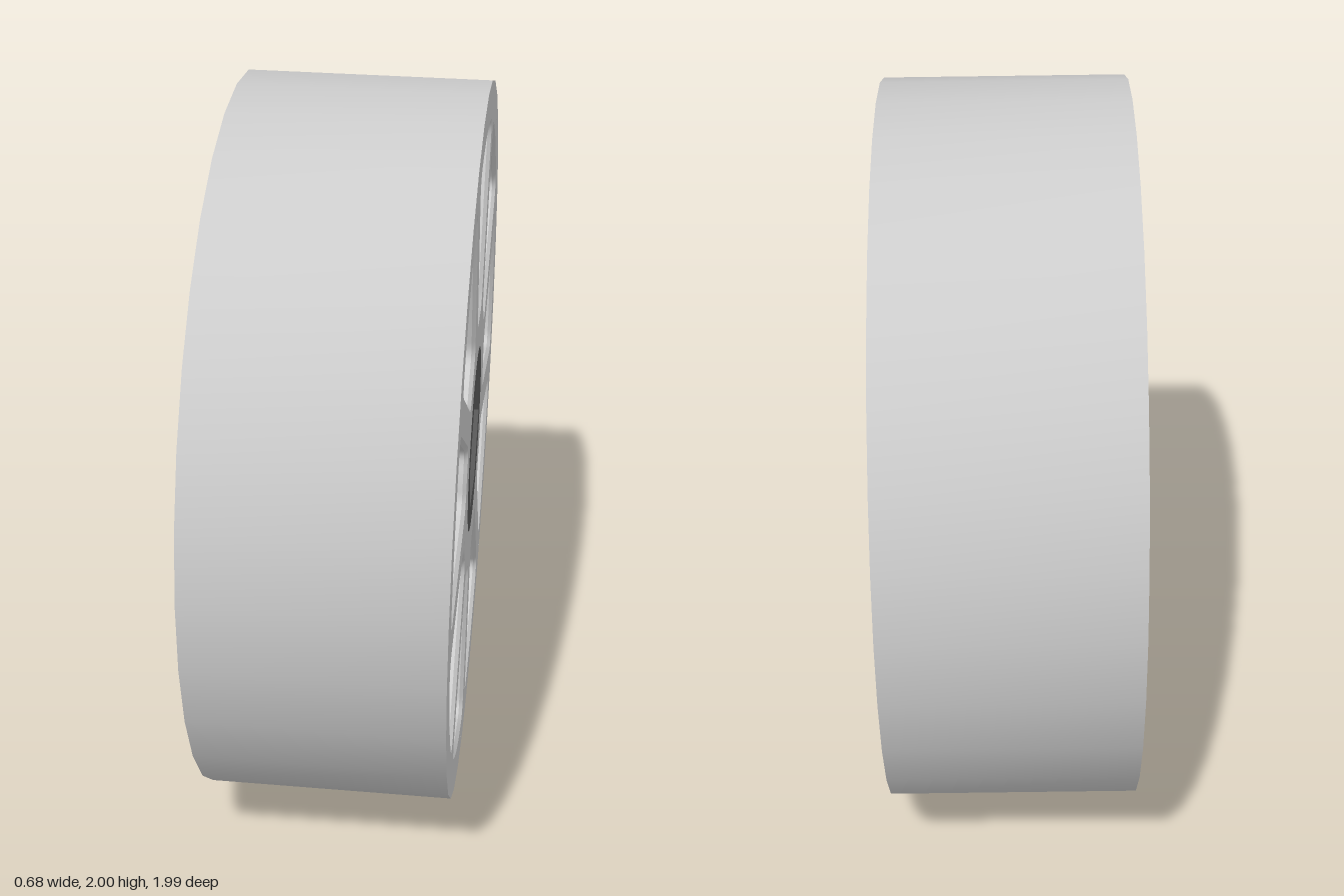
import * as THREE from 'three';
import { toCreasedNormals } from 'three/addons/utils/BufferGeometryUtils.js';

const WIDTH = 0.66, RADIUS = 0.996, RIM_JOIN = 0.94, HUB = 0.26;
const SPOKES = 9, SPOKE_HALF = 0.055, IN = 0.38, OUT = 0.88, FILLET = 0.05, CHAMFER = 0.01;

// Regular polygon outline in the wheel's plane
function polygon(radius, sides, Type = THREE.Path) {
  const points = [];
  for (let i = 0; i < sides; i++) {
    const a = (i / sides) * Math.PI * 2;
    points.push(new THREE.Vector2(Math.cos(a) * radius, Math.sin(a) * radius));
  }
  return new Type(points);
}

// Wedge-shaped opening between two spokes, with rounded corners
function windowPath(mid) {
  const half = Math.PI / SPOKES;
  const polar = (r, a) => new THREE.Vector2(r * Math.cos(mid + a), r * Math.sin(mid + a));
  const edge = (r) => half - Math.asin(SPOKE_HALF / r); // angle of the spoke's side at radius r
  const a0 = edge(IN), a1 = edge(OUT);
  const t0 = a0 - (FILLET * 0.8) / IN, t1 = a1 - FILLET / OUT;
  const rLow = IN + FILLET, rHigh = OUT - FILLET;
  const path = new THREE.Path();
  const corner = (c, e) => path.quadraticCurveTo(c.x, c.y, e.x, e.y);
  const start = polar(rLow, -edge(rLow)), side = polar(rHigh, -edge(rHigh));
  path.moveTo(start.x, start.y);
  path.lineTo(side.x, side.y);
  corner(polar(OUT, -a1), polar(OUT, -t1));
  path.absarc(0, 0, OUT, mid - t1, mid + t1, false);
  corner(polar(OUT, a1), polar(rHigh, edge(rHigh)));
  const back = polar(rLow, edge(rLow));
  path.lineTo(back.x, back.y);
  corner(polar(IN, a0), polar(IN, t0));
  path.absarc(0, 0, IN, mid + t0, mid - t0, true);
  corner(polar(IN, -a0), start);
  return path;
}

// Extrude a shape across the wheel's width, along x
function part(name, shape, material, chamfer = 0) {
  let geometry = new THREE.ExtrudeGeometry(shape, {
    depth: WIDTH - 2 * chamfer,
    curveSegments: 5,
    bevelEnabled: chamfer > 0,
    bevelThickness: chamfer,
    bevelSize: chamfer,
    bevelOffset: -chamfer,
    bevelSegments: 1,
  });
  geometry.translate(0, 0, chamfer - WIDTH / 2);
  geometry.rotateY(Math.PI / 2);
  geometry = toCreasedNormals(geometry, 0.5);
  const mesh = new THREE.Mesh(geometry, material);
  mesh.name = name;
  return mesh;
}

export function createModel() {
  const grey = new THREE.MeshStandardMaterial({ color: 0xcccccc });
  const dark = new THREE.MeshStandardMaterial({ color: 0x595959 });

  // Outer rim
  const rim = polygon(RADIUS, 32, THREE.Shape);
  rim.holes.push(polygon(RIM_JOIN, 32));

  // Spokes and hub body, with chamfered openings
  const body = polygon(RIM_JOIN + CHAMFER, 32, THREE.Shape);
  body.holes.push(polygon(HUB - CHAMFER, 48));
  for (let i = 0; i < SPOKES; i++) {
    body.holes.push(windowPath(Math.PI / 2 + (i * 2 * Math.PI) / SPOKES));
  }

  // Dark bushing with a hexagonal bore, flush with the faces
  const bushing = polygon(HUB, 48, THREE.Shape);
  bushing.holes.push(polygon(0.19, 6));

  const wheel = new THREE.Group();
  wheel.name = 'wheel';
  wheel.add(
    part('rim', rim, grey),
    part('spokes', body, grey, CHAMFER),
    part('hubBushing', bushing, dark),
  );
  // The wheel leans very slightly
  wheel.rotation.z = -0.0125;
  wheel.position.y = 1;

  const model = new THREE.Group();
  model.name = 'spokedWheel';
  model.add(wheel);
  return model;
}
